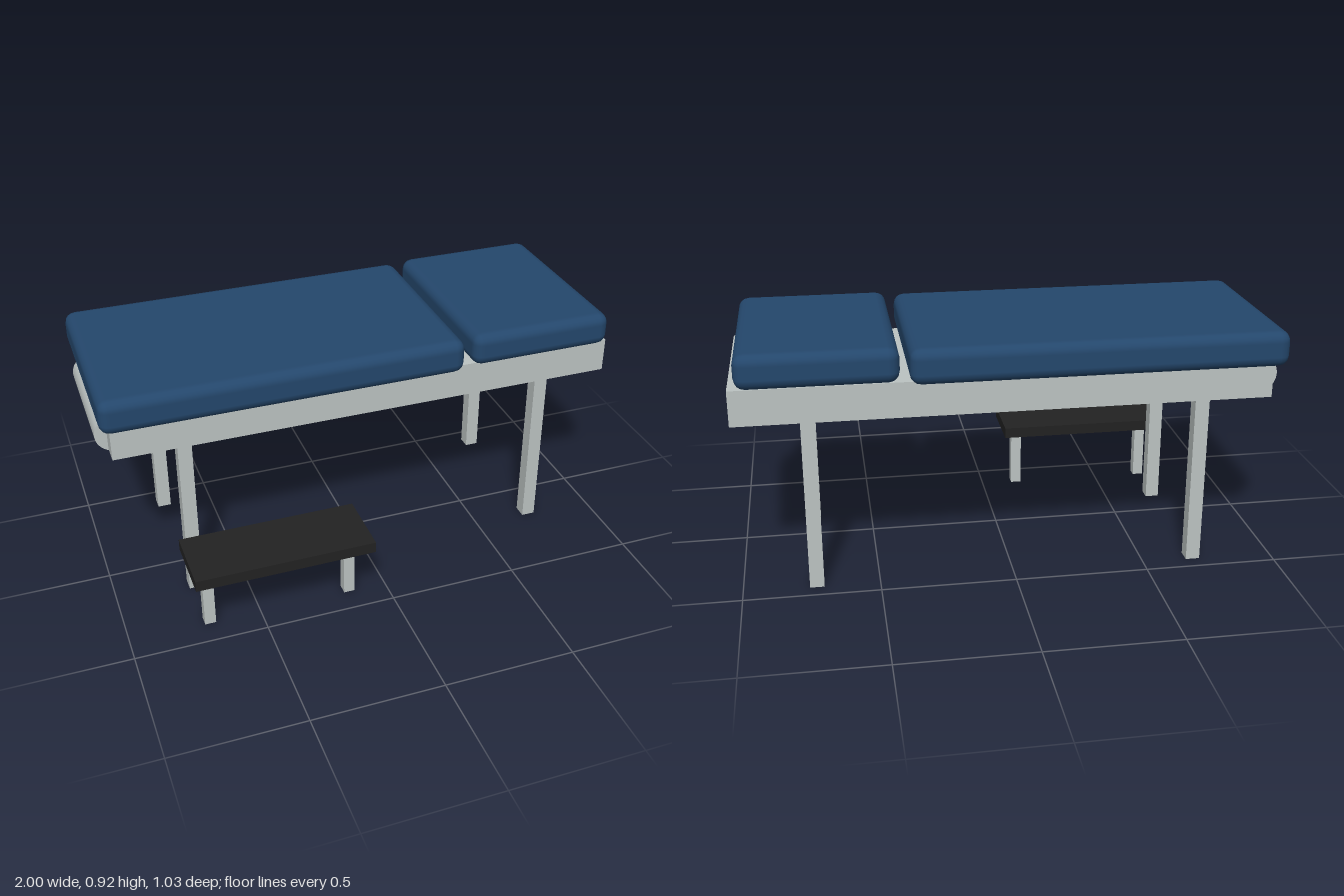
import * as THREE from 'three';
import { RoundedBoxGeometry } from 'three/addons/geometries/RoundedBoxGeometry.js';

export function createModel() {
  const group = new THREE.Group();
  const material = (name, color) => {
    const m = new THREE.MeshStandardMaterial({ color });
    m.name = name;
    return m;
  };
  const upholstery = material('blue upholstery', 0x24476c);
  const metal = material('pale grey metal', 0xbcc3c2);
  const rubber = material('black rubber', 0x222222);

  const add = (name, geometry, mat, x, y, z) => {
    const mesh = new THREE.Mesh(geometry, mat);
    mesh.name = name;
    mesh.position.set(x, y, z);
    group.add(mesh);
    return mesh;
  };
  // Block given by its lower and upper limits; a radius makes it a padded cushion
  const block = (name, mat, [x0, x1], [y0, y1], [z0, z1], radius = 0) => {
    const size = [x1 - x0, y1 - y0, z1 - z0];
    const geometry = radius
      ? new RoundedBoxGeometry(...size, 2, radius)
      : new THREE.BoxGeometry(...size);
    return add(name, geometry, mat, (x0 + x1) / 2, (y0 + y1) / 2, (z0 + z1) / 2);
  };
  const leg = (name, x, z, width, height) =>
    add(name, new THREE.BoxGeometry(width, height, width), metal, x, height / 2, z);

  // Cushions
  block('mainCushion', upholstery, [-0.993, 0.375], [0.782, 0.915], [-0.515, 0.25], 0.04);
  block('headCushion', upholstery, [0.408, 0.973], [0.796, 0.924], [-0.515, 0.25], 0.04);

  // Table frame and legs
  block('frame', metal, [-0.955, 1], [0.65, 0.782], [-0.449, 0.187]);
  for (const x of [-0.695, 0.732])
    for (const z of [0.156, -0.417]) leg('tableLeg', x, z, 0.053, 0.65);

  // Paper roll at the foot end
  const roll = add('paperRoll', new THREE.CylinderGeometry(0.073, 0.073, 0.48, 24),
    metal, -0.927, 0.713, -0.131);
  roll.rotation.x = Math.PI / 2;

  // Step stool
  block('stepTop', rubber, [-0.76, -0.081], [0.255, 0.298], [0.255, 0.516]);
  for (const x of [-0.695, -0.146]) leg('stepLeg', x, 0.385, 0.042, 0.256);

  return group;
}
